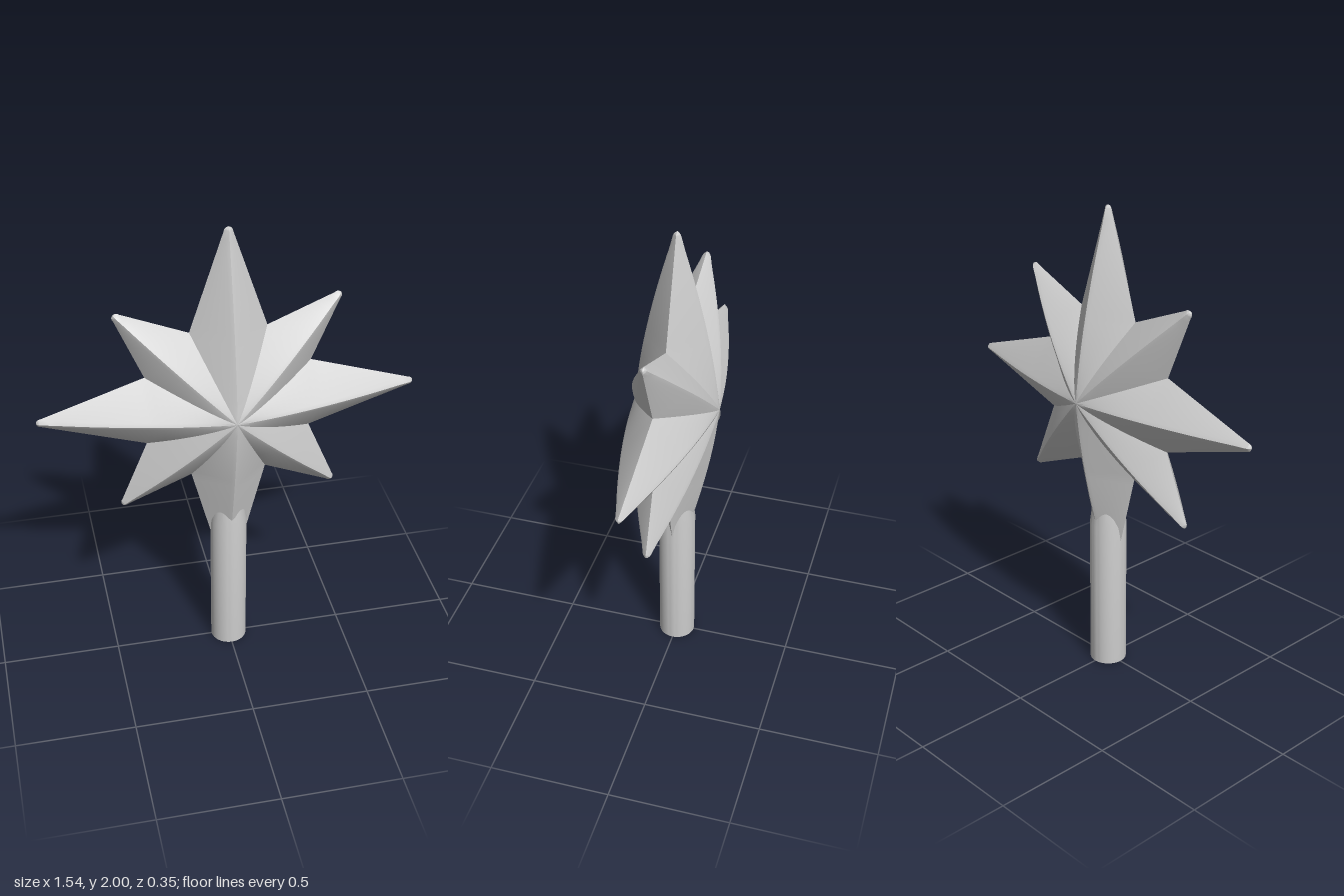
import * as THREE from 'three';
import { toCreasedNormals } from 'three/addons/utils/BufferGeometryUtils.js';

const CENTRE_Y = 1.23;
const DEPTH = 0.175;      // half thickness at the hub
const VALLEY_R = 0.37;    // where neighbouring rays part
const TIP = 0.018;        // rounding at a ray's end

// One ray along +y: a diamond section with a softened ridge, tapering outward.
function rayGeometry(length, valleyAngle, tipWidth) {
  const valleyY = VALLEY_R * Math.cos(valleyAngle);
  const valleyX = VALLEY_R * Math.sin(valleyAngle);
  const rows = [];
  const addRow = (y, halfWidth, edgeZ, cap) => {
    const h = 0.014 + (DEPTH - 0.014) * (1 - Math.pow(y / length, 1.5));
    const m = halfWidth * cap;
    const ridge = Math.max(h * cap, edgeZ);
    const c = Math.min(0.014, 0.4 * m);
    const drop = m > 0 ? (ridge - edgeZ) * c / m : 0;
    rows.push([[-m, edgeZ], [-c, ridge - drop], [0, ridge - drop * 0.4], [c, ridge - drop], [m, edgeZ]]
      .map(([x, z]) => [x, y, z]));
  };

  // Inner part, bounded by the valleys shared with the neighbours
  for (let i = 0; i < 14; i++) {
    const t = i / 14;
    addRow(t * valleyY, t * valleyX, DEPTH * (1 - Math.pow(t, 1.35)), 1);
  }
  // Free part, from the valley to the start of the rounded tip
  const end = length - TIP;
  for (let i = 0; i <= 14; i++) {
    const t = i / 14;
    addRow(valleyY + t * (end - valleyY), valleyX + t * (tipWidth - valleyX), 0, 1);
  }
  // Rounded tip
  for (let i = 1; i <= 5; i++) {
    const a = i / 5 * Math.PI / 2;
    addRow(end + TIP * Math.sin(a), tipWidth, 0, i === 5 ? 0 : Math.cos(a));
  }

  // Front and back skins
  const positions = [], index = [];
  for (const side of [1, -1]) {
    const base = positions.length / 3;
    for (const row of rows) for (const [x, y, z] of row) positions.push(x, y, z * side);
    for (let i = 0; i < rows.length - 1; i++) {
      for (let j = 0; j < 4; j++) {
        const a = base + i * 5 + j, b = a + 1, c = b + 5, d = a + 5;
        if (side > 0) index.push(a, b, c, a, c, d);
        else index.push(a, c, b, a, d, c);
      }
    }
  }
  const geometry = new THREE.BufferGeometry();
  geometry.setAttribute('position', new THREE.Float32BufferAttribute(positions, 3));
  geometry.setIndex(index);
  return toCreasedNormals(geometry, 0.5);
}

export function createModel() {
  const model = new THREE.Group();
  model.name = 'starTopper';
  const material = new THREE.MeshStandardMaterial({ color: 0xcccccc });

  // Eight-pointed star
  const star = new THREE.Group();
  star.name = 'star';
  star.position.y = CENTRE_Y;
  const longAngle = THREE.MathUtils.degToRad(24.8);
  const longRay = rayGeometry(0.77, longAngle, 0.018);
  const shortRay = rayGeometry(0.632, Math.PI / 4 - longAngle, 0.018);
  const lowerRay = rayGeometry(0.77, longAngle, 0.05);
  for (let k = 0; k < 8; k++) {
    const geometry = k === 4 ? lowerRay : k % 2 ? shortRay : longRay;
    const ray = new THREE.Mesh(geometry, material);
    ray.name = k === 4 ? 'lowerRay' : k % 2 ? 'shortRay' : 'longRay';
    ray.rotation.z = -k * Math.PI / 4;
    star.add(ray);
  }
  model.add(star);

  // Round stem, narrowing where it runs up inside the lower ray
  const profile = [[0, 0], [0.077, 0], [0.077, 0.65], [0.05, 0.85], [0, 0.85]]
    .map(([r, y]) => new THREE.Vector2(r, y));
  const stem = new THREE.Mesh(toCreasedNormals(new THREE.LatheGeometry(profile, 48), 0.5), material);
  stem.name = 'stem';
  model.add(stem);

  return model;
}
